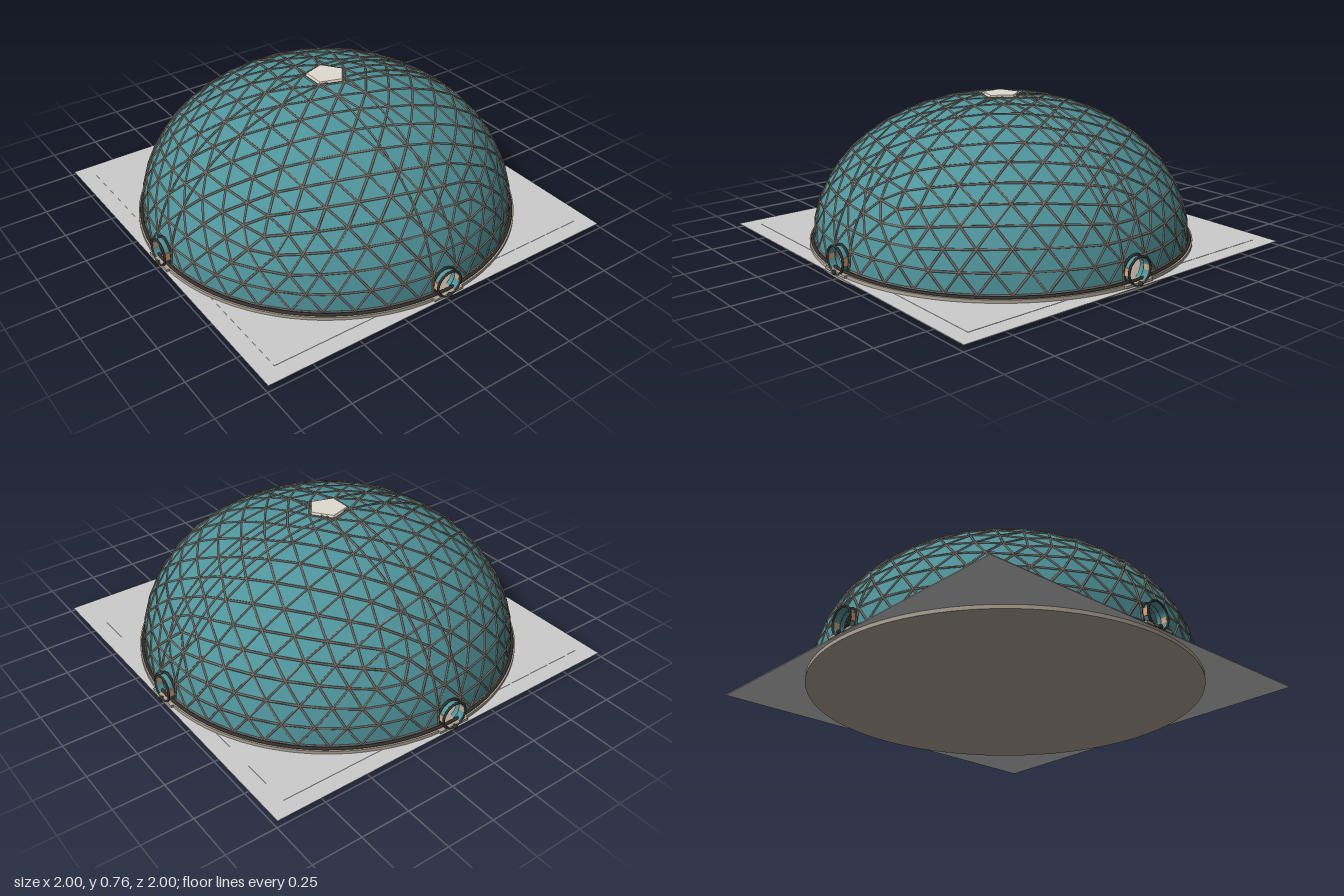
import * as THREE from 'three';
import { mergeGeometries } from 'three/addons/utils/BufferGeometryUtils.js';

const A = 0.95, B = 0.7, BASE = 0.05;        // dome radius, rise and springing height
const DOOR_Y = 0.092, DOOR_R = 0.062;

const mat = (color, extra = {}) => new THREE.MeshStandardMaterial({ color, ...extra });
const teal = mat(0x4f949b, { flatShading: true, side: THREE.DoubleSide });
const strutGrey = mat(0x77706a);
const dark = mat(0x33312f);
const stone = mat(0xaea394);
const grey = mat(0xcccccc);
const pale = mat(0xe0dbd0, { flatShading: true });
const orange = mat(0xdca67c);

function add(parent, name, geometry, material, x = 0, y = 0, z = 0) {
  const mesh = new THREE.Mesh(geometry, material);
  mesh.name = name;
  mesh.position.set(x, y, z);
  parent.add(mesh);
  return mesh;
}

// True inside one of the four round door openings
function inDoor(p) {
  const across = Math.min(Math.abs(p.x), Math.abs(p.z));
  const out = Math.max(Math.abs(p.x), Math.abs(p.z));
  return out > 0.8 && Math.hypot(across, p.y - DOOR_Y) < DOOR_R + 0.003;
}

// Upper half of a frequency 8 icosphere, one vertex up, flattened to the dome
function domeTriangles() {
  const ico = new THREE.IcosahedronGeometry(1, 7);
  ico.rotateZ(Math.atan(2 / (1 + Math.sqrt(5))));
  ico.rotateY(-Math.PI / 2);
  const pos = ico.attributes.position, tris = [];
  for (let i = 0; i < pos.count; i += 3) {
    const t = [0, 1, 2].map(k => new THREE.Vector3().fromBufferAttribute(pos, i + k));
    if (t[0].y + t[1].y + t[2].y < 0.01) continue;
    t.forEach(p => p.set(p.x * A, BASE + p.y * B, p.z * A));
    tris.push(t);
  }
  return tris;
}

// Panels next to a door are split finely so the opening can be cut out
function pushPanel(out, [a, b, c], depth) {
  const mid = a.clone().add(b).add(c).divideScalar(3);
  const nearDoor = mid.y < 0.3 && Math.min(Math.abs(mid.x), Math.abs(mid.z)) < 0.18;
  if (depth > 0 && nearDoor) {
    const ab = a.clone().lerp(b, 0.5), bc = b.clone().lerp(c, 0.5), ca = c.clone().lerp(a, 0.5);
    for (const t of [[a, ab, ca], [ab, b, bc], [ca, bc, c], [ab, bc, ca]]) pushPanel(out, t, depth - 1);
  } else if (!inDoor(mid)) {
    out.push(a, b, c);
  }
}

// Square bar between two points
function bar(a, b, r) {
  const dir = b.clone().sub(a);
  const g = new THREE.CylinderGeometry(r, r, dir.length(), 4, 1, true);
  const q = new THREE.Quaternion().setFromUnitVectors(new THREE.Vector3(0, 1, 0), dir.normalize());
  g.applyQuaternion(q);
  const m = a.clone().lerp(b, 0.5);
  return g.translate(m.x, m.y, m.z);
}

function strutGeometry(tris) {
  const seen = new Set(), bars = [];
  for (const t of tris) for (let k = 0; k < 3; k++) {
    const a = t[k], b = t[(k + 1) % 3], m = a.clone().lerp(b, 0.5);
    const key = m.toArray().map(v => Math.round(v * 1000)).join();
    if (seen.has(key)) continue;
    seen.add(key);
    const n = m.y < 0.25 && Math.min(Math.abs(m.x), Math.abs(m.z)) < 0.15 ? 8 : 1;
    for (let i = 0; i < n; i++) {
      const p = a.clone().lerp(b, i / n), q = a.clone().lerp(b, (i + 1) / n);
      if (!inDoor(p.clone().lerp(q, 0.5))) bars.push(bar(p, q, 0.006));
    }
  }
  return mergeGeometries(bars);
}

// Rib over the dome in the plane x = offset
function ribGeometry(offset) {
  const half = Math.sqrt(A * A - offset * offset), pts = [];
  for (let i = 0; i <= 32; i++) {
    const t = Math.PI * i / 32;
    pts.push(new THREE.Vector3(offset, BASE + B * (half / A) * Math.sin(t), half * Math.cos(t)));
  }
  return new THREE.TubeGeometry(new THREE.CatmullRomCurve3(pts), 64, 0.005, 5);
}

// Round doorway facing +z
function doorway() {
  const door = new THREE.Group();
  door.name = 'doorway';
  const tube = new THREE.CylinderGeometry(DOOR_R, DOOR_R, 0.06, 32, 1, true).rotateX(Math.PI / 2);
  add(door, 'doorCollar', tube, mat(0x4f949b, { side: THREE.DoubleSide }), 0, DOOR_Y, 0.952);
  for (const z of [0.945, 0.98])
    add(door, 'doorRing', new THREE.TorusGeometry(0.067, 0.006, 8, 36), dark, 0, DOOR_Y, z);
  for (const s of [-1, 1])
    add(door, 'doorSidePanel', new THREE.BoxGeometry(0.005, 0.04, 0.026), orange, s * 0.063, DOOR_Y + 0.003, 0.962);
  add(door, 'threshold', new THREE.BoxGeometry(0.17, 0.012, 0.025), stone, 0, 0.034, 0.972);
  add(door, 'thresholdKnob', new THREE.SphereGeometry(0.012, 12, 8), dark, 0, 0.034, 0.988);
  return door;
}

export function createModel() {
  const model = new THREE.Group();
  model.name = 'geodesicDome';

  // Ground and foundation
  add(model, 'groundSheet', new THREE.BoxGeometry(1.976, 0.004, 1.976), grey, 0, 0.021, 0);
  add(model, 'groundInset', new THREE.BoxGeometry(1.81, 0.004, 1.81), grey, 0, 0.0225, 0);
  add(model, 'foundation', new THREE.CylinderGeometry(0.975, 0.975, 0.04, 96), stone, 0, 0.02, 0);
  const ring = new THREE.TorusGeometry(0.96, 0.008, 8, 96).rotateX(Math.PI / 2);
  add(model, 'baseRing', ring, dark, 0, 0.043, 0);

  // Dome skin and lattice
  const tris = domeTriangles(), points = [];
  tris.forEach(t => pushPanel(points, t, 4));
  const skin = new THREE.BufferGeometry().setFromPoints(points);
  skin.computeVertexNormals();
  add(model, 'domePanels', skin, teal);
  add(model, 'domeStruts', strutGeometry(tris), strutGrey);

  // Paired ribs crossing over the top
  for (const turn of [0, Math.PI / 2]) for (const s of [-0.068, 0.068])
    add(model, 'rib', ribGeometry(s), strutGrey).rotation.y = turn;

  // Five-sided skylight
  add(model, 'skylight', new THREE.CylinderGeometry(0.096, 0.106, 0.018, 5), pale, 0, 0.748, 0).rotation.y = Math.PI;

  // Four doorways
  for (let i = 0; i < 4; i++) {
    const door = doorway();
    door.rotation.y = i * Math.PI / 2;
    model.add(door);
  }
  return model;
}
